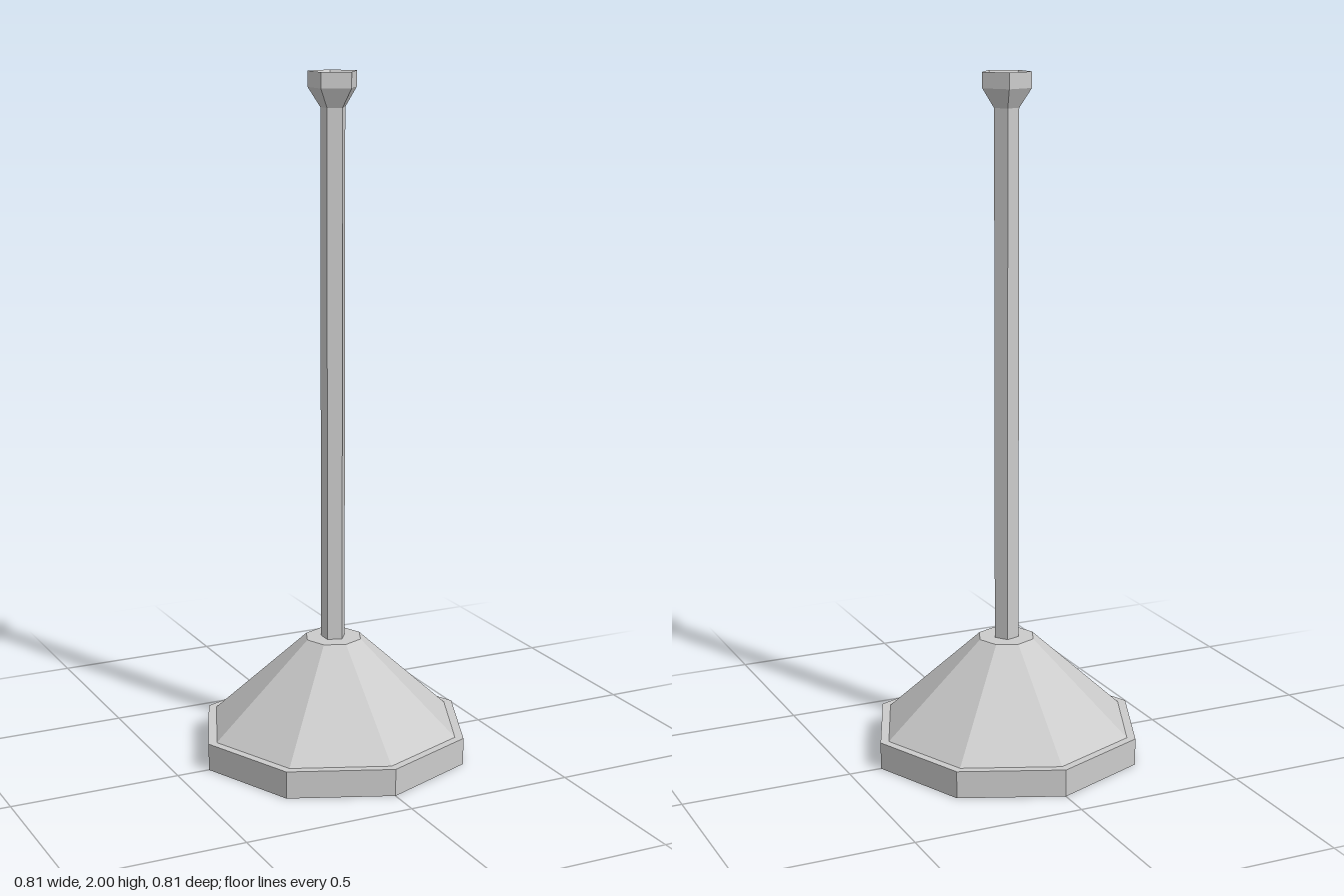
import * as THREE from 'three';

const material = new THREE.MeshStandardMaterial({ color: 0xcccccc, flatShading: true });

// Faceted solid of revolution with its first corner on +x
function facetedLathe(name, sides, profile) {
  const points = profile.map(([r, y]) => new THREE.Vector2(r, y));
  const geometry = new THREE.LatheGeometry(points, sides, Math.PI / 2).toNonIndexed();
  geometry.computeVertexNormals();
  const mesh = new THREE.Mesh(geometry, material);
  mesh.name = name;
  return mesh;
}

export function createModel() {
  const model = new THREE.Group();
  model.name = 'pendantLamp';

  // Hollow octagonal shade: bottom lip, rim, step, slope, flat cap, inside
  model.add(facetedLathe('shade', 8, [
    [0.34, 0], [0.403, 0], [0.403, 0.08], [0.377, 0.08], [0.085, 0.35], [0, 0.35],
  ]));
  model.add(facetedLathe('shadeInside', 8, [[0, 0.31], [0.06, 0.31], [0.34, 0]]));

  // Five-sided stem, running through the cap down to the bulb
  model.add(facetedLathe('stem', 5, [[0, 0.2], [0.037, 0.2], [0.037, 1.9]]));

  // Flared ceiling mount with a sunken top
  model.add(facetedLathe('ceilingMount', 5, [
    [0.037, 1.9], [0.073, 1.955], [0.073, 2], [0.037, 1.955], [0, 1.955],
  ]));

  // Faceted bulb inside the shade
  const r = 0.115;
  const bulbGeometry = new THREE.IcosahedronGeometry(r, 0);
  // Stand the bulb on one of its corners
  const corner = new THREE.Vector3(0, 1, (1 + Math.sqrt(5)) / 2).normalize();
  bulbGeometry.applyQuaternion(
    new THREE.Quaternion().setFromUnitVectors(corner, new THREE.Vector3(0, 1, 0)));
  const bulb = new THREE.Mesh(bulbGeometry, material);
  bulb.name = 'bulb';
  bulb.position.y = 0.13;
  model.add(bulb);

  return model;
}
